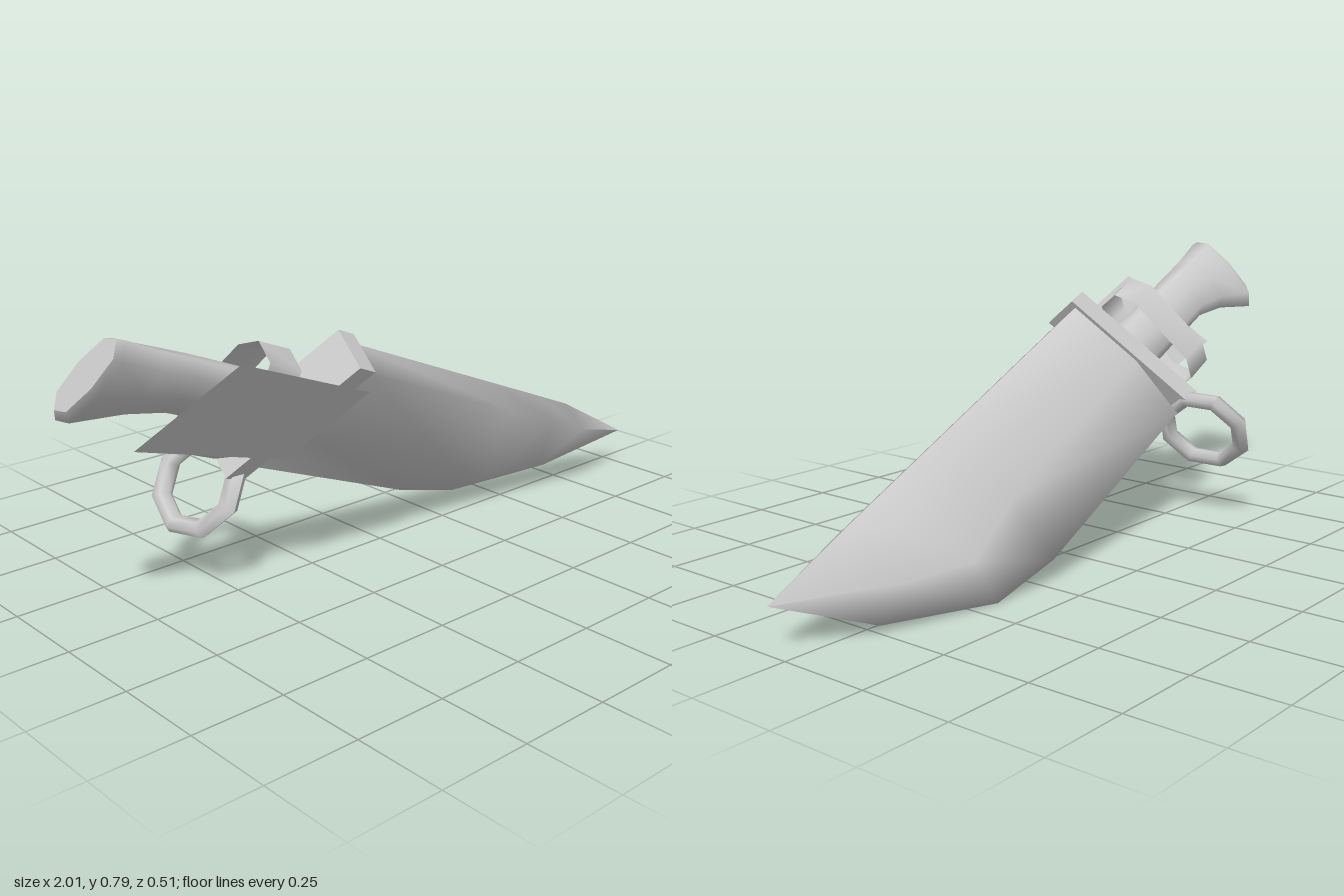
import * as THREE from 'three';

const grey = new THREE.MeshStandardMaterial({ color: 0xcccccc });
const greyThin = new THREE.MeshStandardMaterial({ color: 0xcccccc, side: THREE.DoubleSide });

// Skins cross-sections (rings of [x, y, z], running towards +x), optionally closing the ends
function loft(rings, capStart = false, capEnd = false) {
  const n = rings[0].length;
  const pos = rings.flat(2);
  const index = [];
  for (let i = 0; i < rings.length - 1; i++) {
    for (let j = 0; j < n; j++) {
      const k = (j + 1) % n;
      const a = i * n + j, b = i * n + k, c = b + n, d = a + n;
      index.push(a, b, c, a, c, d);
    }
  }
  const cap = (ring, flip) => {
    const s = pos.length / 3;
    pos.push(...ring.flat());
    for (let j = 1; j < n - 1; j++) index.push(s, s + (flip ? j + 1 : j), s + (flip ? j : j + 1));
  };
  if (capStart) cap(rings[0], true);
  if (capEnd) cap(rings[rings.length - 1], false);
  const geo = new THREE.BufferGeometry();
  geo.setAttribute('position', new THREE.Float32BufferAttribute(pos, 3));
  geo.setIndex(index);
  geo.computeVertexNormals();
  return geo;
}

// Eight-sided rounded section between a top and a bottom height
function oval(x, top, bottom, half) {
  const ring = [];
  for (let j = 0; j < 8; j++) {
    const t = (j / 8) * Math.PI * 2;
    const round = (v) => Math.sign(v) * Math.pow(Math.abs(v), 0.8);
    ring.push([x, (top + bottom) / 2 + ((top - bottom) / 2) * round(Math.cos(t)), half * round(Math.sin(t))]);
  }
  return ring;
}

// The guard leans back towards the handle at its lower end
const LEAN = 0.16;
function lean(geo) {
  const p = geo.attributes.position;
  for (let i = 0; i < p.count; i++) p.setX(i, p.getX(i) + LEAN * p.getY(i));
  geo.computeVertexNormals();
  return geo;
}

export function createModel() {
  const model = new THREE.Group();
  const knife = new THREE.Group();
  knife.name = 'knife';
  model.add(knife);

  const add = (name, geo, mat = grey) => {
    const mesh = new THREE.Mesh(geo, mat);
    mesh.name = name;
    knife.add(mesh);
    return mesh;
  };

  // Blade: flat spine, parallel cheeks, then a bevel down to the edge
  // [spine x, ridge x, ridge y, edge x, edge y, spine half width, ridge half width]
  const stations = [
    [0, -0.04, -0.235, -0.07, -0.437, 0.053, 0.053],
    [0.655, 0.655, -0.245, 0.655, -0.437, 0.053, 0.053],
    [0.88, 0.88, -0.28, 0.88, -0.4, 0.053, 0.047],
    [1.056, 1.07, -0.19, 1.17, -0.222, 0.052, 0.04],
    [1.347, 1.347, -0.006, 1.347, -0.006, 0, 0],
  ];
  add('blade', loft(stations.map(([sx, rx, ry, ex, ey, sh, rh], i) => {
    const sy = i === stations.length - 1 ? ry : 0;
    return [[sx, sy, sh], [rx, ry, rh], [ex, ey, 0], [rx, ry, -rh], [sx, sy, -sh]];
  }), true));

  // Guard bar with the ring below it
  const bar = new THREE.BoxGeometry(0.06, 0.45, 0.128);
  bar.translate(-0.028, -0.205, 0);
  add('guard', lean(bar));
  const ring = new THREE.TorusGeometry(0.12, 0.026, 6, 8);
  ring.rotateZ(Math.PI / 8);
  ring.rotateY(Math.PI / 2);
  ring.translate(-0.02, -0.53, 0);
  add('guardRing', lean(ring));

  // Handle flaring into a hooked pommel
  add('handle', loft([
    oval(-0.69, -0.122, -0.36, 0.04),
    oval(-0.665, -0.118, -0.39, 0.048),
    oval(-0.55, -0.125, -0.322, 0.05),
    oval(-0.45, -0.125, -0.29, 0.05),
    oval(-0.03, -0.128, -0.288, 0.05),
  ], true, true));

  // Loose band around the handle
  const band = (x) => [
    [x, -0.055, 0.035], [x, -0.11, 0.072], [x, -0.34, 0.072], [x, -0.395, 0.035],
    [x, -0.395, -0.035], [x, -0.34, -0.072], [x, -0.11, -0.072], [x, -0.055, -0.035],
  ];
  add('band', loft([band(-0.29), band(-0.18)]), greyThin);

  // Thin side plate
  const plate = new THREE.ShapeGeometry(new THREE.Shape([
    new THREE.Vector2(-0.415, -0.047), new THREE.Vector2(-0.48, -0.375),
    new THREE.Vector2(-0.009, -0.317), new THREE.Vector2(0.034, -0.037),
  ]));
  add('sidePlate', plate, greyThin).position.z = 0.075;

  // Pose: x along the blade, y towards the spine
  const along = new THREE.Vector3(0.923, -0.374, -0.092).normalize();
  const side = along.clone().cross(new THREE.Vector3(0.353, 0.728, 0.588)).normalize();
  const up = side.clone().cross(along);
  knife.quaternion.setFromRotationMatrix(new THREE.Matrix4().makeBasis(along, up, side));
  knife.position.set(-0.25, 0.628, 0.192);
  return model;
}
